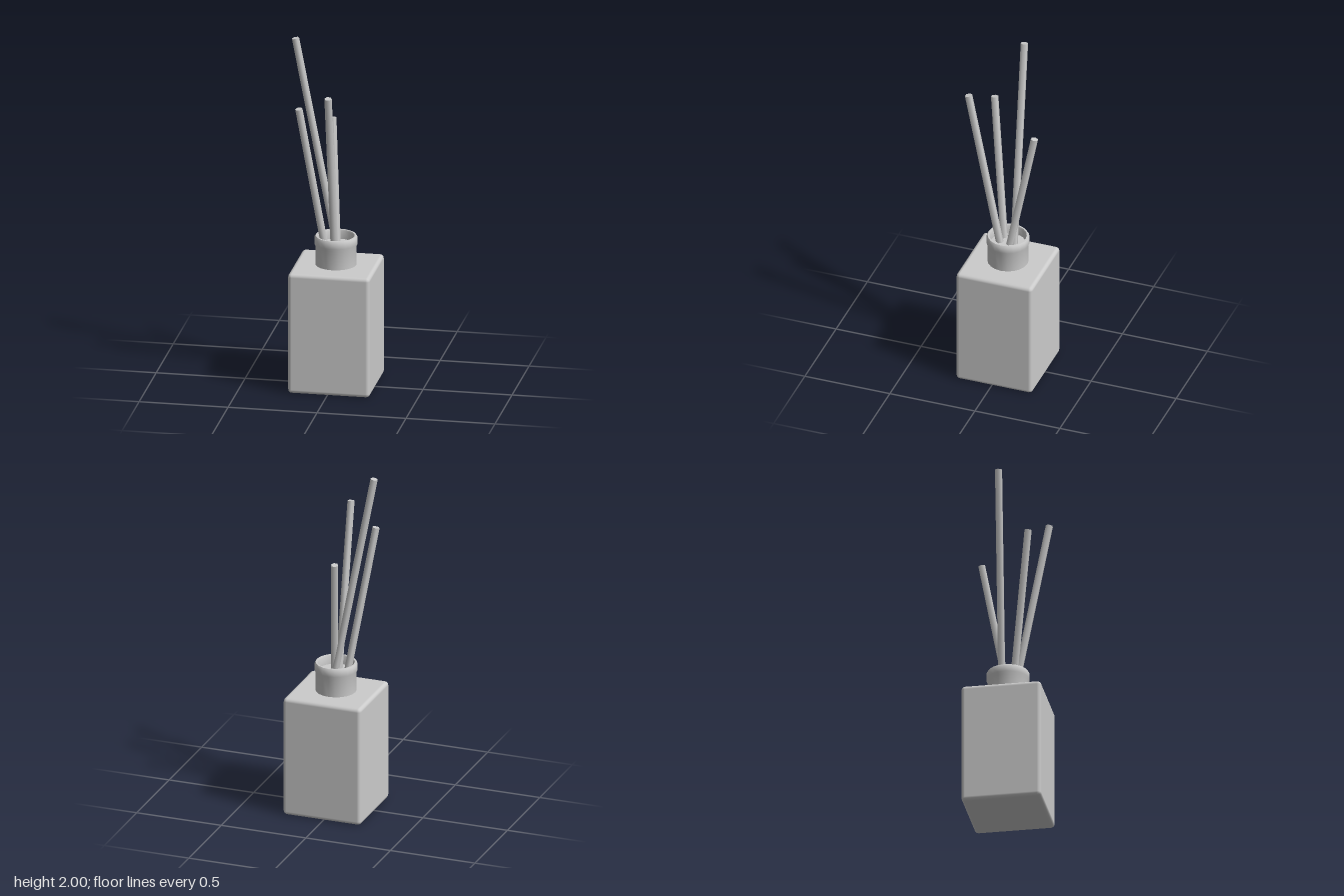
import * as THREE from 'three';
import { RoundedBoxGeometry } from 'three/addons/geometries/RoundedBoxGeometry.js';
import { toCreasedNormals } from 'three/addons/utils/BufferGeometryUtils.js';

const CX = 0.008, CZ = -0.014; // bottle axis
const STICK_RADIUS = 0.021;

export function createModel() {
  const model = new THREE.Group();
  model.name = 'reedDiffuser';
  const grey = new THREE.MeshStandardMaterial({ color: 0xcccccc });

  const add = (name, geometry) => {
    const mesh = new THREE.Mesh(geometry, grey);
    mesh.name = name;
    model.add(mesh);
    return mesh;
  };

  // Square bottle with softly rounded edges
  add('bottle', new RoundedBoxGeometry(0.46, 0.697, 0.448, 2, 0.022))
    .position.set(CX, 0.3485, CZ);

  // Neck: outer wall, rounded rim, inner wall and recessed floor
  const neckProfile = [
    [0.114, 0.68], [0.114, 0.805], [0.12, 0.82], [0.12, 0.852], [0.113, 0.864],
    [0.104, 0.864], [0.1, 0.856], [0.1, 0.81], [0, 0.81],
  ].map(([r, y]) => new THREE.Vector2(r, y));
  const neck = new THREE.LatheGeometry(neckProfile, 20);
  add('neck', toCreasedNormals(neck, 0.7)).position.set(CX, 0, CZ);

  // Reed sticks: [name, foot, tip]
  const sticks = [
    ['frontStick', [0.008, 0.8, 0.033], [0.008, 1.738, 0.218]],
    ['tallStick', [0.004, 0.8, -0.048], [-0.222, 1.996, -0.026]],
    ['backStick', [0.012, 0.8, -0.025], [-0.037, 1.503, -0.153]],
    ['rightStick', [-0.045, 0.8, 0.028], [-0.173, 1.638, 0.131]],
  ];
  const up = new THREE.Vector3(0, 1, 0);
  for (const [name, a, b] of sticks) {
    const foot = new THREE.Vector3(...a), tip = new THREE.Vector3(...b);
    const axis = tip.clone().sub(foot);
    const geometry = new THREE.CylinderGeometry(
      STICK_RADIUS, STICK_RADIUS, axis.length(), 6, 1, false, Math.PI / 2);
    const stick = add(name, geometry);
    stick.position.copy(foot).add(tip).multiplyScalar(0.5);
    stick.quaternion.setFromUnitVectors(up, axis.normalize());
  }

  return model;
}
